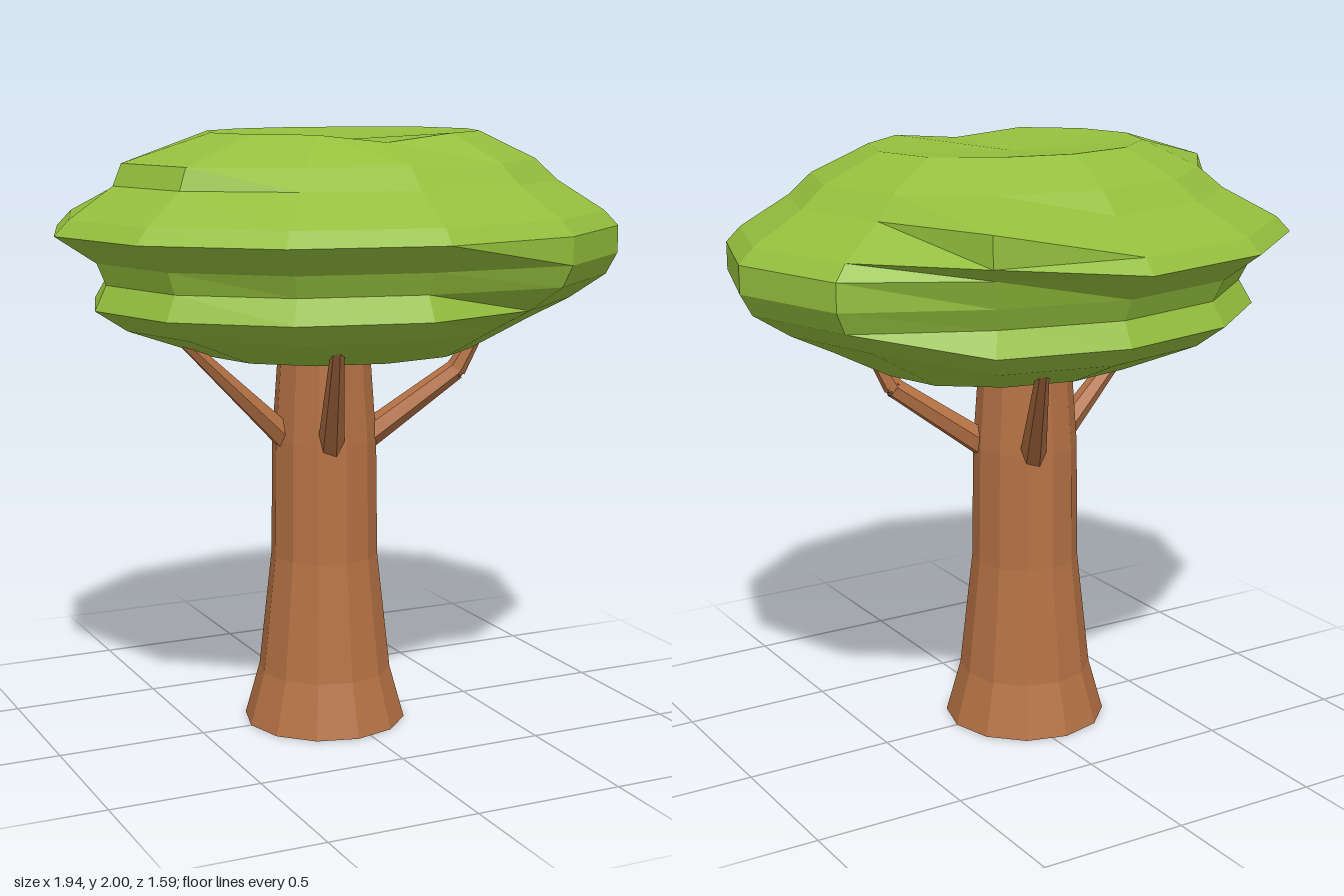
import * as THREE from 'three';

const leafGreen = new THREE.MeshStandardMaterial({ name: 'leaf green', color: 0x94bf3d });
const barkBrown = new THREE.MeshStandardMaterial({ name: 'bark brown', color: 0xb47144 });
leafGreen.flatShading = true;
barkBrown.flatShading = true;

// Canopy ring heights, and radius fractions for each kind of facet column
const LEVELS = [1.97, 2.0, 1.91, 1.84, 1.74, 1.69, 1.6, 1.53, 1.45, 1.38, 1.28, 1.24];
const GROOVED = [0, 0.46, 0.66, 0.75, 0.95, 1, 0.86, 0.82, 0.87, 0.76, 0.47, 0];
const STEPPED = [0, 0.46, 0.77, 0.8, 0.95, 1, 0.86, 0.83, 0.87, 0.76, 0.47, 0];
const ROUNDED = [0, 0.5, 0.7, 0.78, 0.95, 1, 1, 0.96, 0.83, 0.68, 0.48, 0];
const BULGED = [0, 0.46, 0.68, 1, 1, 0.9, 0.86, 0.82, 0.87, 0.76, 0.47, 0];
// Columns every 30 degrees, from the front towards +x
const COLUMNS = [GROOVED, ROUNDED, ROUNDED, ROUNDED, ROUNDED, BULGED,
  GROOVED, GROOVED, GROOVED, STEPPED, STEPPED, GROOVED];

function canopyGeometry() {
  const rows = LEVELS.length, positions = [], index = [];
  COLUMNS.forEach((profile, j) => {
    const a = (j / COLUMNS.length) * Math.PI * 2;
    profile.forEach((r, i) => {
      const dip = i === 1 && j === 0 ? 0.025 : 0; // sagging front rim
      positions.push(0.97 * r * Math.sin(a), LEVELS[i] - dip, 0.795 * r * Math.cos(a));
    });
  });
  for (let j = 0; j < COLUMNS.length; j++) {
    const k = (j + 1) % COLUMNS.length;
    for (let i = 0; i < rows - 1; i++) {
      const a = j * rows + i, b = a + 1, d = k * rows + i, c = d + 1;
      if (i < rows - 2) index.push(a, b, c);
      if (i > 0) index.push(a, c, d);
      if (i === rows - 2) continue;
    }
  }
  const g = new THREE.BufferGeometry();
  g.setAttribute('position', new THREE.Float32BufferAttribute(positions, 3));
  g.setIndex(index);
  const flat = g.toNonIndexed();
  flat.computeVertexNormals();
  return flat;
}

// Tapered limb running through a few points, with a ball at each bend
function limb(name, points, radii) {
  const group = new THREE.Group();
  group.name = name;
  for (let i = 0; i < points.length - 1; i++) {
    const from = new THREE.Vector3(...points[i]);
    const dir = new THREE.Vector3(...points[i + 1]).sub(from);
    const geo = new THREE.CylinderGeometry(radii[i + 1], radii[i], dir.length(), 6);
    const part = new THREE.Mesh(geo, barkBrown);
    part.name = name + 'Segment';
    part.position.copy(from).addScaledVector(dir, 0.5);
    part.quaternion.setFromUnitVectors(new THREE.Vector3(0, 1, 0), dir.normalize());
    group.add(part);
    if (i > 0) {
      const knot = new THREE.Mesh(new THREE.IcosahedronGeometry(radii[i], 0), barkBrown);
      knot.name = name + 'Bend';
      knot.position.copy(from);
      group.add(knot);
    }
  }
  return group;
}

export function createModel() {
  const tree = new THREE.Group();
  tree.name = 'tree';

  // Trunk, flared at the foot
  const profile = [[0, 0], [0.275, 0], [0.225, 0.18], [0.181, 0.58], [0.176, 0.98], [0.155, 1.27], [0, 1.3]]
    .map(([r, y]) => new THREE.Vector2(r, y));
  const trunk = new THREE.Mesh(new THREE.LatheGeometry(profile, 12), barkBrown);
  trunk.name = 'trunk';
  trunk.position.x = -0.05;
  tree.add(trunk);

  // Four branches reaching up into the leaves
  tree.add(
    limb('frontBranch', [[-0.085, 0.97, 0.13], [-0.21, 1.36, 0.45]], [0.045, 0.02]),
    limb('backBranch', [[0, 0.97, -0.13], [0.17, 1.36, -0.46]], [0.045, 0.02]),
    limb('leftBranch', [[0.08, 0.98, 0.05], [0.38, 1.2, 0.13], [0.46, 1.36, 0.17]], [0.047, 0.035, 0.02]),
    limb('rightBranch', [[-0.18, 0.98, 0], [-0.58, 1.36, 0.04]], [0.045, 0.02]),
  );

  // Faceted leaf canopy
  const canopy = new THREE.Mesh(canopyGeometry(), leafGreen);
  canopy.name = 'canopy';
  tree.add(canopy);
  return tree;
}
